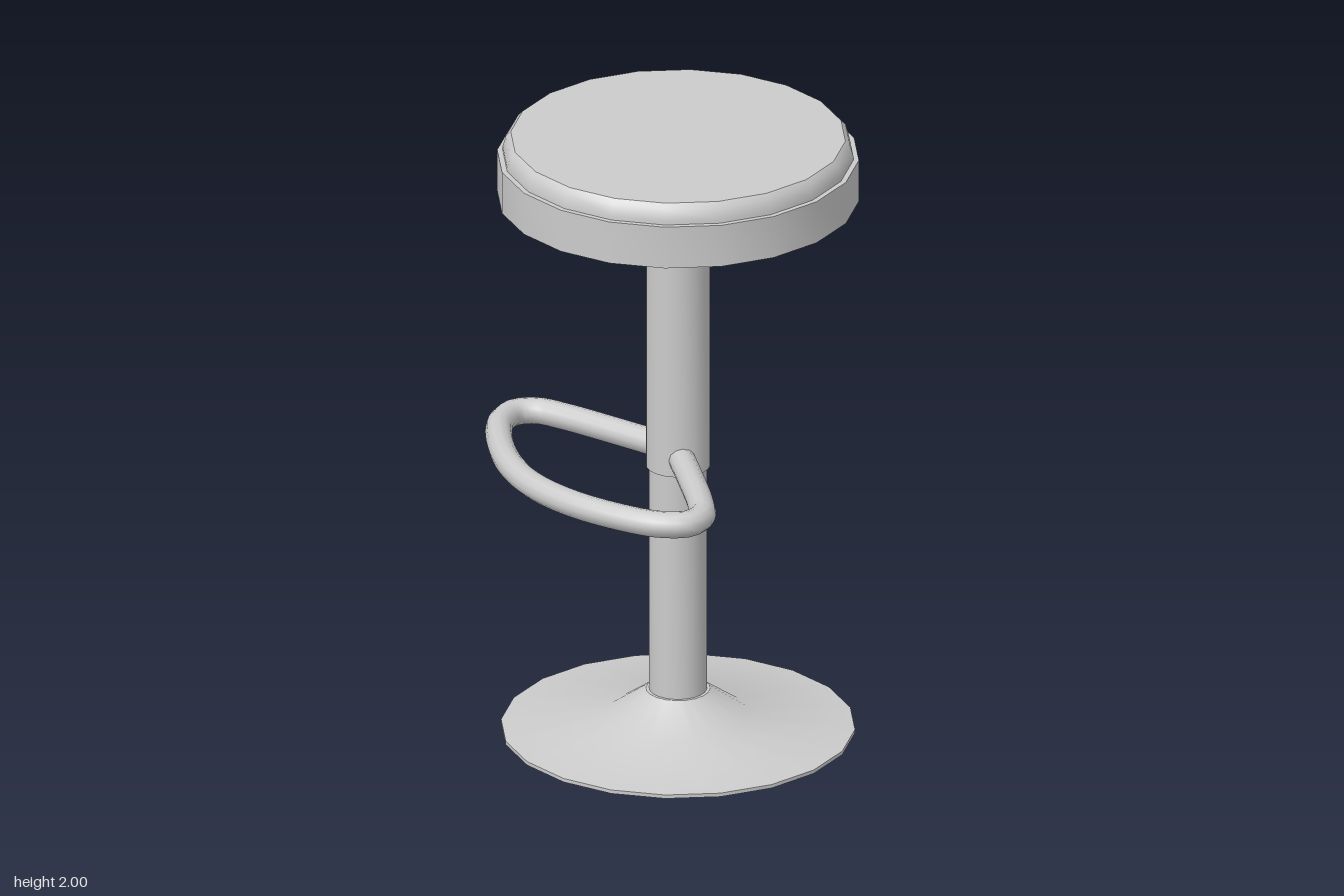
import * as THREE from 'three';
import { toCreasedNormals } from 'three/addons/utils/BufferGeometryUtils.js';

const SIDES = 20;
const material = new THREE.MeshStandardMaterial({ color: 0xcccccc });

function addMesh(group, name, geometry) {
  const mesh = new THREE.Mesh(geometry, material);
  mesh.name = name;
  group.add(mesh);
}

// Turned part: profile of [radius, y] from bottom to top
function turned(profile) {
  const points = profile.map(([r, y]) => new THREE.Vector2(r, y));
  return toCreasedNormals(new THREE.LatheGeometry(points, SIDES), 0.6);
}

export function createModel() {
  const stool = new THREE.Group();
  stool.name = 'barStool';

  // Flared floor plate
  addMesh(stool, 'base', turned([
    [0, 0], [0.55, 0], [0.55, 0.012], [0.22, 0.05], [0.1, 0.135], [0, 0.135],
  ]));

  // Telescoping column
  addMesh(stool, 'lowerColumn', turned([[0, 0.1], [0.09, 0.1], [0.09, 0.92], [0, 0.92]]));
  addMesh(stool, 'upperColumn', turned([[0, 0.89], [0.1, 0.89], [0.1, 1.81], [0, 1.81]]));

  // Seat pan with a padded cushion set inside its rim
  addMesh(stool, 'seatPan', turned([
    [0, 1.798], [0.562, 1.798], [0.562, 1.937], [0, 1.937],
  ]));
  addMesh(stool, 'cushion', turned([
    [0, 1.93], [0.545, 1.93], [0.545, 1.95], [0.535, 1.985], [0.52, 2], [0, 2],
  ]));

  // Looped footrest: half path as [x, z], mirrored front to back
  const half = [
    [-0.033, 0.075], [-0.09, 0.22], [-0.17, 0.41], [-0.215, 0.485],
    [-0.28, 0.51], [-0.355, 0.468], [-0.42, 0.375], [-0.5, 0.19],
  ];
  const mirrored = half.map(([x, z]) => [x, -z]).reverse();
  const path = new THREE.CatmullRomCurve3(
    [...half, [-0.53, 0], ...mirrored].map(([x, z]) => new THREE.Vector3(x, 0.943, z)));
  addMesh(stool, 'footrest', new THREE.TubeGeometry(path, 72, 0.042, 12));

  stool.position.x = 0.003;
  return stool;
}
